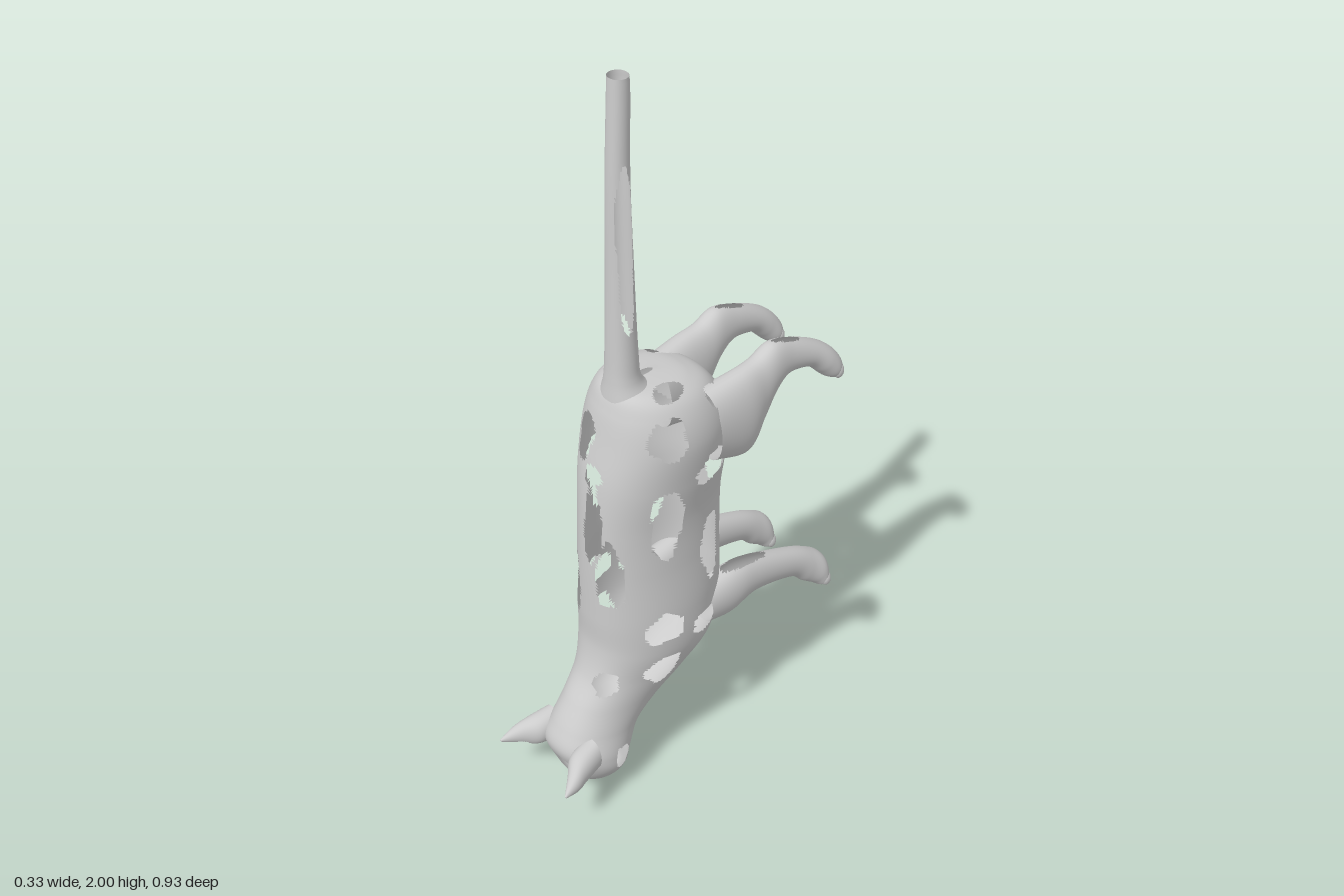
import * as THREE from 'three';

const material = new THREE.MeshStandardMaterial({ color: 0xcccccc, side: THREE.DoubleSide });

// True when p lies in a ragged-edged ellipsoid [x, y, z, rx, ry, rz]
function inHole(p, [x, y, z, rx, ry, rz], k) {
  const a = (p.x - x) / rx, b = (p.y - y) / ry, c = (p.z - z) / rz;
  const angle = Math.atan2(b, Math.abs(a) > Math.abs(c) ? a : c);
  const edge = 1 + 0.09 * Math.sin(3 * angle + k) + 0.06 * Math.sin(5 * angle + 2 * k);
  return a * a + b * b + c * c < edge * edge;
}

// Smooth skin through elliptical rings [z1, y1, z2, y2, halfWidth, centreX];
// (z1, y1) and (z2, y2) are opposite ends of each ring. Holes are left open.
function skin(name, rings, rows, cols, holes = [], side = 1) {
  const curve = (f) => new THREE.CatmullRomCurve3(rings.map(f), false, 'catmullrom', 0.5);
  const first = curve((r) => new THREE.Vector3(r[4], r[1], r[0]));
  const second = curve((r) => new THREE.Vector3((r[5] || 0) * side, r[3], r[2]));
  const points = [], index = [];
  for (let i = 0; i <= rows; i++) {
    const a = first.getPoint(i / rows), b = second.getPoint(i / rows);
    for (let j = 0; j < cols; j++) {
      const t = (j / cols) * Math.PI * 2, c = Math.cos(t), s = Math.sin(t);
      const m = (1 + c) / 2;
      const x = b.x + a.x * Math.sign(s) * Math.abs(s) ** 0.88;
      points.push(new THREE.Vector3(x, b.y + (a.y - b.y) * m, b.z + (a.z - b.z) * m));
    }
  }
  const centre = new THREE.Vector3();
  const addFace = (a, b, c) => {
    centre.copy(points[a]).add(points[b]).add(points[c]).divideScalar(3);
    if (!holes.some((h, k) => inHole(centre, h, k))) index.push(a, b, c);
  };
  for (let i = 0; i < rows; i++) {
    for (let j = 0; j < cols; j++) {
      const n = (j + 1) % cols, p = i * cols, q = p + cols;
      addFace(p + j, q + j, q + n);
      addFace(p + j, q + n, p + n);
    }
  }
  const geometry = new THREE.BufferGeometry().setFromPoints(points);
  geometry.setIndex(index);
  geometry.computeVertexNormals();
  const mesh = new THREE.Mesh(geometry, material);
  mesh.name = name;
  return mesh;
}

// Rump at the top, down the trunk and neck to the nose
const bodyRings = [
  [0.12, 1.212, 0.05, 1.208, 0.01],
  [0.175, 1.2, -0.03, 1.195, 0.095],
  [0.2, 1.15, -0.09, 1.16, 0.14],
  [0.22, 1.07, -0.135, 1.07, 0.163],
  [0.245, 0.96, -0.14, 0.94, 0.153],
  [0.258, 0.83, -0.135, 0.83, 0.137],
  [0.262, 0.7, -0.133, 0.7, 0.138],
  [0.262, 0.55, -0.13, 0.55, 0.148],
  [0.262, 0.45, -0.11, 0.41, 0.145],
  [0.285, 0.36, -0.04, 0.32, 0.118],
  [0.33, 0.29, 0.06, 0.245, 0.1],
  [0.37, 0.225, 0.135, 0.19, 0.1],
  [0.39, 0.17, 0.175, 0.12, 0.112],
  [0.37, 0.11, 0.188, 0.085, 0.108],
  [0.34, 0.05, 0.195, 0.04, 0.073],
  [0.29, 0.02, 0.21, 0.018, 0.042],
  [0.26, 0.003, 0.24, 0.003, 0.006],
];

// Side openings [y, z, ry, rz], present on both flanks
const flankHoles = [
  [1.1, 0.12, 0.058, 0.045], [0.97, -0.02, 0.045, 0.07], [0.85, 0.12, 0.11, 0.045],
  [0.7, -0.03, 0.1, 0.036], [0.52, 0.13, 0.046, 0.055], [0.475, -0.02, 0.035, 0.07],
  [0.375, 0.13, 0.05, 0.05], [0.325, 0, 0.025, 0.045], [0.13, 0.25, 0.036, 0.03],
];
// Openings on the back, rump, belly and forehead
const bodyHoles = [
  [-0.055, 1.065, 0.22, 0.035, 0.065, 0.06], [0, 0.98, 0.24, 0.028, 0.03, 0.06],
  [0.012, 0.84, 0.26, 0.03, 0.11, 0.06], [0.06, 0.7, 0.25, 0.035, 0.1, 0.06],
  [-0.07, 0.62, 0.25, 0.03, 0.09, 0.06], [0.06, 0.36, 0.27, 0.03, 0.035, 0.05],
  [-0.13, 0.72, 0.21, 0.05, 0.12, 0.025], [0, 0.115, 0.38, 0.034, 0.03, 0.05],
  [-0.07, 1.18, -0.055, 0.033, 0.05, 0.06], [0.12, 1.16, -0.06, 0.028, 0.05, 0.05],
  [0.085, 1.18, 0.08, 0.03, 0.05, 0.05], [0, 1.2, 0.14, 0.035, 0.06, 0.035],
  [0.02, 0.86, -0.14, 0.045, 0.07, 0.05], [-0.03, 0.68, -0.14, 0.04, 0.06, 0.05],
];
flankHoles.forEach(([y, z, ry, rz]) => {
  bodyHoles.push([0.13, y, z, 0.08, ry, rz], [-0.13, y + 0.012, z - 0.01, 0.08, ry, rz]);
});

const tailRings = [
  [0.165, 2, 0.118, 2, 0.025],
  [0.167, 1.95, 0.117, 1.95, 0.026],
  [0.175, 1.75, 0.12, 1.75, 0.028],
  [0.178, 1.5, 0.114, 1.5, 0.034],
  [0.182, 1.3, 0.107, 1.3, 0.04],
  [0.185, 1.23, 0.1, 1.23, 0.046],
  [0.19, 1.18, 0.07, 1.19, 0.065],
];
const tailHoles = [[0.04, 1.6, 0.152, 0.034, 0.23, 0.026], [-0.03, 1.32, 0.12, 0.02, 0.06, 0.02]];

const hindRings = [
  [-0.05, 0.94, -0.03, 1.15, 0.06, 0.09],
  [-0.15, 0.92, -0.13, 1.165, 0.056, 0.1],
  [-0.2, 0.985, -0.19, 1.175, 0.046, 0.1],
  [-0.24, 1.05, -0.245, 1.198, 0.04, 0.1],
  [-0.285, 1.09, -0.31, 1.18, 0.036, 0.1],
  [-0.355, 1.083, -0.385, 1.145, 0.038, 0.103],
  [-0.39, 1.055, -0.435, 1.11, 0.045, 0.106],
  [-0.415, 1.03, -0.463, 1.07, 0.048, 0.106],
  [-0.435, 1.02, -0.458, 1.035, 0.036, 0.106],
  [-0.445, 1.02, -0.45, 1.022, 0.006, 0.106],
];
const frontRings = [
  [-0.04, 0.42, -0.03, 0.54, 0.045, 0.09],
  [-0.11, 0.415, -0.13, 0.555, 0.045, 0.095],
  [-0.2, 0.437, -0.2, 0.545, 0.04, 0.097],
  [-0.33, 0.41, -0.34, 0.495, 0.036, 0.1],
  [-0.38, 0.37, -0.41, 0.46, 0.04, 0.103],
  [-0.41, 0.35, -0.452, 0.425, 0.046, 0.106],
  [-0.425, 0.338, -0.463, 0.37, 0.045, 0.106],
  [-0.435, 0.336, -0.455, 0.345, 0.03, 0.106],
  [-0.443, 0.337, -0.447, 0.339, 0.006, 0.106],
];
const earRings = [
  [0.33, 0.22, 0.33, 0.13, 0.035, 0.08],
  [0.39, 0.205, 0.385, 0.125, 0.036, 0.092],
  [0.43, 0.18, 0.42, 0.13, 0.022, 0.115],
  [0.467, 0.15, 0.464, 0.143, 0.003, 0.133],
];

export function createModel() {
  const model = new THREE.Group();
  model.name = 'catShell';
  model.add(skin('body', bodyRings, 260, 96, bodyHoles));
  model.add(skin('tail', tailRings, 130, 36, tailHoles));

  const toeGeometry = new THREE.SphereGeometry(0.015, 12, 8);
  for (const side of [1, -1]) {
    const label = side > 0 ? 'left' : 'right';
    // Long slits along the upper edges of the legs
    const hindHoles = [[side * 0.1, 1.2, -0.31, 0.017, 0.035, 0.065]];
    const frontHoles = [[side * 0.095, 0.55, -0.19, 0.025, 0.03, 0.09]];
    const earHoles = [[side * 0.103, 0.128, 0.405, 0.018, 0.025, 0.03]];
    model.add(skin(label + 'HindLeg', hindRings, 90, 40, hindHoles, side));
    model.add(skin(label + 'FrontLeg', frontRings, 90, 40, frontHoles, side));
    model.add(skin(label + 'Ear', earRings, 40, 32, earHoles, side));

    // Four toes on each paw
    for (const [paw, y] of [['Hind', 1.045], ['Front', 0.36]]) {
      for (let i = 0; i < 4; i++) {
        const toe = new THREE.Mesh(toeGeometry, material);
        toe.name = label + paw + 'Toe';
        const across = (i - 1.5) / 1.5;
        toe.position.set(side * 0.106 + across * 0.035, y, -0.452 + 0.008 * across * across);
        toe.scale.y = 1.5;
        model.add(toe);
      }
    }
  }
  return model;
}
